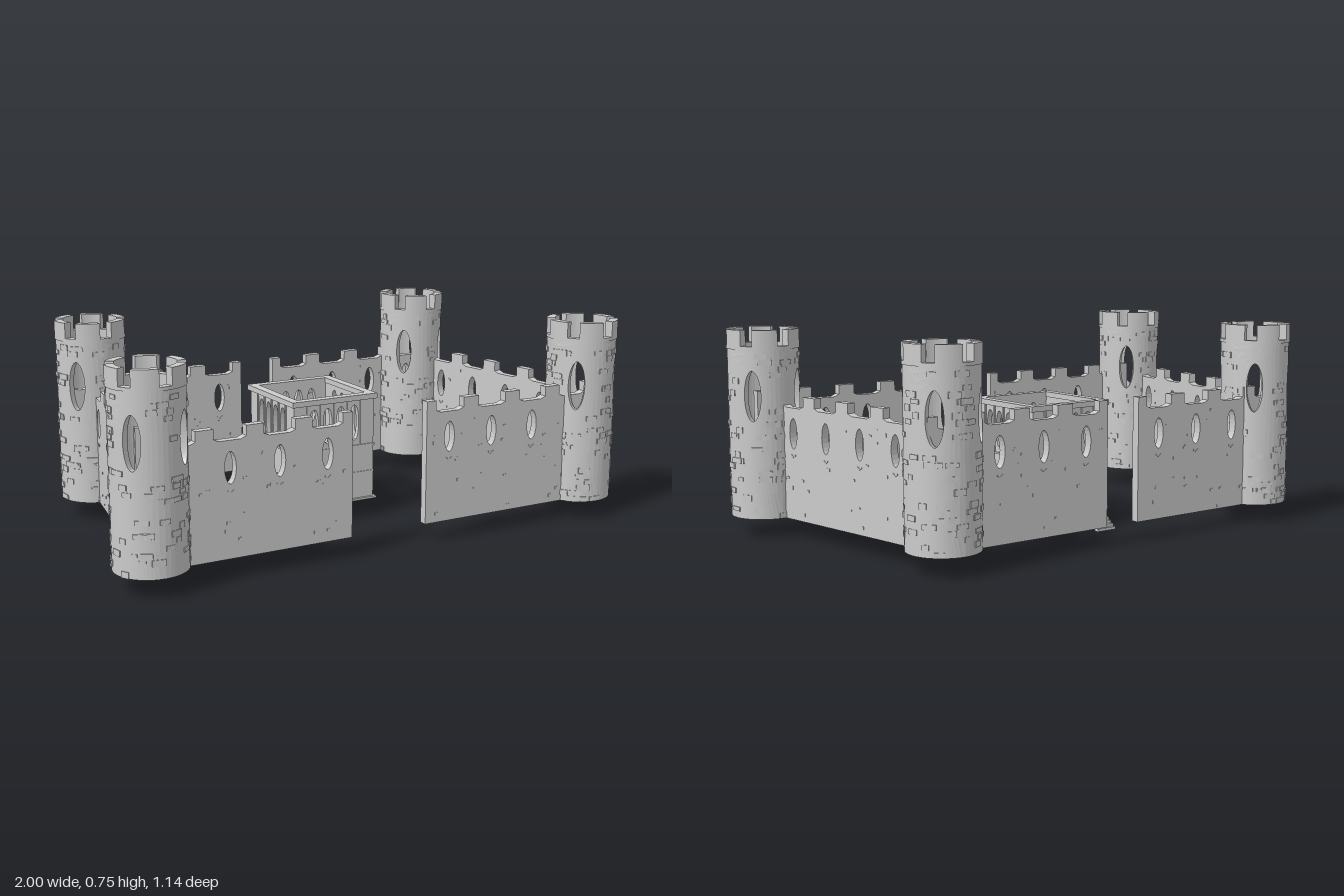
import * as THREE from 'three';
import { mergeGeometries } from 'three/addons/utils/BufferGeometryUtils.js';

const stone = new THREE.MeshStandardMaterial({ color: 0xcccccc, flatShading: true, side: THREE.DoubleSide });
const BASE = 0.07;

function seeded(seed) {
  return () => (seed = (seed * 16807) % 2147483647) / 2147483647;
}

function add(parent, name, geometry) {
  const mesh = new THREE.Mesh(geometry, stone);
  mesh.name = name;
  parent.add(mesh);
  return mesh;
}

const box = (w, h, d, x, y, z) => new THREE.BoxGeometry(w, h, d).translate(x, y, z);

// Extrusion centred on its own depth
const slab = (shape, depth) =>
  new THREE.ExtrudeGeometry(shape, { depth, bevelEnabled: false, curveSegments: 10 }).translate(0, 0, -depth / 2);

// Tall window outline, pointed at both ends when power is above 1
function lens(t, halfW, halfH, power = 1) {
  const c = Math.cos(t);
  return [halfW * Math.sign(c) * Math.abs(c) ** power, halfH * Math.sin(t)];
}

function lensHole(cx, cy, halfW, halfH, power) {
  const points = [];
  for (let i = 0; i < 20; i++) {
    const [x, y] = lens((i / 20) * Math.PI * 2, halfW, halfH, power);
    points.push(new THREE.Vector2(cx + x, cy + y));
  }
  return new THREE.Path(points);
}

// ---- Curtain wall: crenellated panel from (x0, z0) to (x1, z1) ----
function makeWall(name, x0, z0, x1, z1, seed) {
  const wall = new THREE.Group();
  wall.name = name;
  const L = Math.hypot(x1 - x0, z1 - z0), pitch = (L - 0.012) / 4, half = 0.032;
  const low = 0.472, high = 0.515, sides = 0.48;
  const shape = new THREE.Shape();
  shape.moveTo(0, BASE);
  shape.lineTo(0, high);
  for (let i = 0; i < 4; i++) {
    const a = 0.006 + i * pitch + half, b = a + pitch - 2 * half;
    shape.lineTo(a, high);
    shape.lineTo(a, sides);
    shape.lineTo(a + 0.02, low);
    shape.lineTo(b - 0.02, low);
    shape.lineTo(b, sides);
    shape.lineTo(b, high);
  }
  shape.lineTo(L, high);
  shape.lineTo(L, BASE);
  const bits = [];
  for (let i = 0; i < 4; i++) {
    const x = 0.006 + (i + 0.5) * pitch;
    shape.holes.push(lensHole(x, 0.38, 0.021, 0.055, 1.1));
    // V-shaped sill brackets on both faces
    for (const s of [-1, 1])
      bits.push(new THREE.BoxGeometry(0.014, 0.004, 0.035).rotateZ(s * 0.6).translate(x + s * 0.006, 0.3, 0));
  }
  add(wall, 'wallPanel', slab(shape, 0.03));
  // Scattered raised stones
  const rnd = seeded(seed);
  for (let i = 0; i < 60; i++) {
    const x = 0.02 + rnd() * (L - 0.04), y = 0.08 + rnd() * 0.37, side = i % 2 ? 1 : -1;
    const w = 0.004 + rnd() * 0.012, h = 0.005 + rnd() * 0.008;
    const off = Math.abs(((x - 0.006) / pitch) % 1 - 0.5) * pitch;
    if (off < 0.035 && y > 0.31 && y < 0.45) continue;
    bits.push(box(w, h, 0.004, x, y, side * 0.0148));
  }
  add(wall, 'wallStones', mergeGeometries(bits));
  wall.position.set(x0, 0, z0);
  wall.rotation.y = -Math.atan2(z1 - z0, x1 - x0);
  return wall;
}

// ---- Tower quarter: curved shell lofted from a window outline to its border ----
const R = 0.127, RI = 0.102, TOP = 0.68, WINY = 0.512;
function towerQuarter(middle) {
  const N = 64, steps = [0, 0.12, 0.3, 0.5, 0.75, 1];
  const rings = [...steps.map(s => [s, R]), ...steps.slice().reverse().map(s => [s, RI])];
  const pos = [], index = [];
  for (const [s, r] of rings)
    for (let i = 0; i < N; i++) {
      const t = (i / N) * Math.PI * 2, c = Math.cos(t), n = Math.sin(t);
      const m = Math.max(Math.abs(c), Math.abs(n));
      const [wx, wy] = lens(t, 0.24, 0.09, 1.1);
      const a = middle + THREE.MathUtils.lerp(wx, (c / m) * Math.PI / 4, s);
      const edge = n > 0 ? TOP - WINY : WINY - BASE;
      const y = WINY + THREE.MathUtils.lerp(wy, (n / m) * edge, s);
      pos.push(Math.sin(a) * r, y, Math.cos(a) * r);
    }
  for (let k = 0; k < rings.length; k++)
    for (let i = 0; i < N; i++) {
      const j = (i + 1) % N, a = k * N, b = ((k + 1) % rings.length) * N;
      index.push(a + i, b + i, b + j, a + i, b + j, a + j);
    }
  const g = new THREE.BufferGeometry();
  g.setAttribute('position', new THREE.Float32BufferAttribute(pos, 3));
  g.setIndex(index);
  g.computeVertexNormals();
  return g;
}

// Ring segment standing on y
function arcBlock(rIn, rOut, from, to, y, h) {
  const shape = new THREE.Shape();
  shape.absarc(0, 0, rOut, from, to, false);
  shape.absarc(0, 0, rIn, to, from, true);
  return new THREE.ExtrudeGeometry(shape, { depth: h, bevelEnabled: false, curveSegments: 6 })
    .rotateX(-Math.PI / 2).translate(0, y, 0);
}

function makeTower(name, x, z, seed) {
  const tower = new THREE.Group();
  tower.name = name;
  const quarters = [], merlons = [], stones = [];
  for (let i = 0; i < 4; i++) quarters.push(towerQuarter(Math.PI / 4 + (i * Math.PI) / 2));
  add(tower, 'towerShell', mergeGeometries(quarters));
  // Battlement ring and merlons
  for (let i = 0; i < 6; i++) {
    const a = (i * Math.PI) / 3 + 0.12, w = 0.35;
    merlons.push(arcBlock(0.1, 0.13, a - w, a + w, 0.688, 0.057));
    merlons.push(arcBlock(0.1, 0.13, a - Math.PI / 6, a + Math.PI / 6, 0.676, 0.012));
  }
  add(tower, 'towerMerlons', mergeGeometries(merlons));
  // Raised courses of rough stone
  const rnd = seeded(seed);
  for (let i = 0; i < 170; i++) {
    const a = rnd() * Math.PI * 2, y = 0.081 + Math.floor(rnd() * 27) * 0.022;
    const w = 0.02 + rnd() * 0.03, h = 0.014 + rnd() * 0.008;
    const off = Math.abs((a % (Math.PI / 2)) - Math.PI / 4);
    if (off < 0.46 && Math.abs(y - WINY) < 0.11) continue;
    stones.push(new THREE.BoxGeometry(w, h, 0.008).translate(0, y, R - 0.0025 + rnd() * 0.0015).rotateY(a));
  }
  add(tower, 'towerStones', mergeGeometries(stones));
  tower.position.set(x, 0, z);
  return tower;
}

// ---- Keep ----
function keepPanel(w, door) {
  const shape = new THREE.Shape();
  const h = w / 2;
  shape.moveTo(-h, BASE);
  if (door) {
    shape.lineTo(-0.034, BASE);
    shape.lineTo(-0.034, 0.215);
    shape.absarc(0, 0.215, 0.034, Math.PI, 0, true);
    shape.lineTo(0.034, BASE);
  }
  shape.lineTo(h, BASE);
  shape.lineTo(h, 0.46);
  shape.lineTo(-h, 0.46);
  for (const x of [-0.085, -0.028, 0.028, 0.085]) shape.holes.push(lensHole(x, 0.37, 0.019, 0.067, 0.8));
  return slab(shape, 0.02);
}

function frame(w, d, border, y, h) {
  const rect = (T, a, b) => new T([[-a, -b], [a, -b], [a, b], [-a, b]].map(p => new THREE.Vector2(...p)));
  const shape = rect(THREE.Shape, w / 2, d / 2);
  shape.holes.push(rect(THREE.Path, w / 2 - border, d / 2 - border));
  return new THREE.ExtrudeGeometry(shape, { depth: h, bevelEnabled: false }).rotateX(-Math.PI / 2).translate(0, y, 0);
}

function makeKeep() {
  const keep = new THREE.Group();
  keep.name = 'keep';
  const W = 0.335, D = 0.35;
  for (let i = 0; i < 4; i++) {
    const side = new THREE.Group();
    side.name = ['keepFront', 'keepLeft', 'keepBack', 'keepRight'][i];
    const width = i % 2 ? D : W, out = (i % 2 ? W : D) / 2 - 0.01;
    add(side, 'keepWall', keepPanel(width, i !== 3)).position.z = out;
    // Pilasters between the windows
    const pilasters = [-0.113, -0.057, 0, 0.057, 0.113].map(x => box(0.008, 0.17, 0.006, x, 0.37, out + 0.011));
    add(side, 'pilasters', mergeGeometries(pilasters));
    // String course on either side of the doorway
    const run = width / 2 - 0.042;
    const course = [-1, 1].map(s => box(run, 0.005, 0.004, s * (0.042 + run / 2), 0.177, out + 0.011));
    add(side, 'stringCourse', mergeGeometries(course));
    side.rotation.y = (i * Math.PI) / 2;
    keep.add(side);
  }
  add(keep, 'cornice', frame(0.355, 0.37, 0.034, 0.455, 0.02));
  add(keep, 'windowLedge', frame(W + 0.008, D + 0.008, 0.02, 0.277, 0.007));
  add(keep, 'baseSlab', box(0.355, 0.008, 0.37, 0, BASE + 0.004, 0));
  add(keep, 'upperFloor', box(0.24, 0.008, 0.32, 0.035, 0.262, 0));
  // Inner flight along the right wall
  const inner = [];
  for (let i = 0; i < 16; i++) inner.push(box(0.06, 0.009, 0.018, -0.117, 0.085 + i * 0.0118, -0.14 + i * 0.0175));
  add(keep, 'innerStairs', mergeGeometries(inner));
  // Outer flight down to the ground at the back
  const outer = [];
  for (let i = 0; i < 7; i++) outer.push(box(0.085, 0.01, 0.015, -0.122, 0.065 - i * 0.01, -0.16 - i * 0.0125));
  add(keep, 'outerStairs', mergeGeometries(outer));
  keep.position.set(-0.0075, 0, -0.055);
  return keep;
}

export function createModel() {
  const castle = new THREE.Group();
  castle.name = 'castle';
  castle.add(
    makeTower('frontLeftTower', 0.87, 0.44, 11),
    makeTower('frontRightTower', -0.87, 0.44, 223),
    makeTower('backLeftTower', 0.68, -0.44, 3571),
    makeTower('backRightTower', -0.735, -0.44, 48611),
    makeWall('frontLeftWall', 0.15, 0.48, 0.885, 0.48, 101),
    makeWall('frontRightWall', -0.15, 0.48, -0.885, 0.48, 2027),
    makeWall('backLeftWall', 0.04, -0.485, 0.775, -0.485, 30011),
    makeWall('backRightWall', -0.1, -0.485, -0.835, -0.485, 405),
    makeWall('leftWall', 0.85, 0.36, 0.73, -0.375, 5099),
    makeWall('rightWall', -0.865, 0.36, -0.74, -0.375, 61),
    makeKeep(),
  );
  return castle;
}
